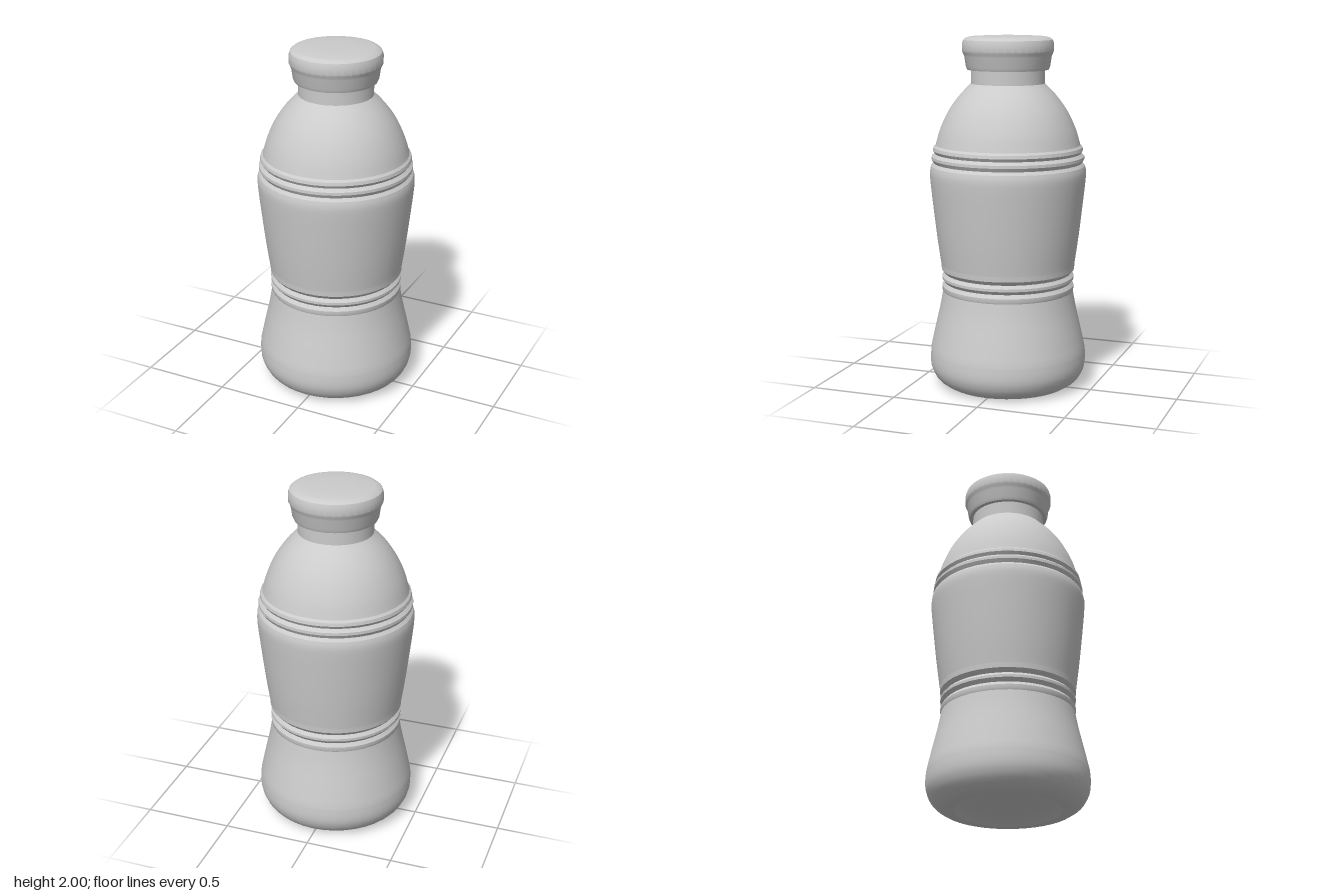
import * as THREE from 'three';
import { toCreasedNormals } from 'three/addons/utils/BufferGeometryUtils.js';

const SIDES = 40;
const material = new THREE.MeshStandardMaterial({ color: 0xcccccc });

// Turn a [radius, height] profile, listed from bottom to top, around the y axis
function turned(name, profile) {
  const points = profile.map(([r, y]) => new THREE.Vector2(r, y));
  const geometry = toCreasedNormals(new THREE.LatheGeometry(points, SIDES), 0.45);
  const mesh = new THREE.Mesh(geometry, material);
  mesh.name = name;
  return mesh;
}

// Sample a smooth curve through a few profile points
function smooth(profile, steps) {
  const curve = new THREE.SplineCurve(profile.map(([r, y]) => new THREE.Vector2(r, y)));
  return curve.getPoints(steps).map((p) => [p.x, p.y]);
}

export function createModel() {
  const bottle = new THREE.Group();
  bottle.name = 'bottle';

  // Recessed underside and rounded, flared foot
  bottle.add(turned('base', [
    [0, 0.045], [0.2, 0.04], [0.26, 0.025], [0.29, 0.004], [0.33, 0.002],
    ...smooth([[0.36, 0.01], [0.41, 0.045], [0.44, 0.1], [0.448, 0.15], [0.446, 0.2]], 10),
    ...smooth([[0.445, 0.215], [0.42, 0.33], [0.39, 0.46], [0.373, 0.555]], 8),
  ]));

  // Ribs around the waist
  bottle.add(turned('waistRibs', [
    [0.373, 0.555], [0.377, 0.565], [0.377, 0.585], [0.362, 0.605],
    [0.378, 0.625], [0.378, 0.64], [0.362, 0.658], [0.38, 0.68], [0.382, 0.71],
  ]));

  // Tapered label panel
  bottle.add(turned('labelPanel', smooth(
    [[0.382, 0.71], [0.403, 0.86], [0.424, 1.04], [0.439, 1.18], [0.442, 1.24], [0.435, 1.275]], 14)));

  // Ribs at the foot of the shoulder
  bottle.add(turned('shoulderRibs', [
    [0.435, 1.275], [0.42, 1.292], [0.432, 1.312], [0.431, 1.328],
    [0.413, 1.345], [0.424, 1.362], [0.42, 1.38], [0.408, 1.392],
  ]));

  // Domed shoulder
  bottle.add(turned('shoulder', smooth(
    [[0.408, 1.392], [0.382, 1.48], [0.335, 1.58], [0.275, 1.665], [0.208, 1.735]], 14)));

  // Straight neck
  bottle.add(turned('neck', [[0.208, 1.73], [0.208, 1.825]]));

  // Cap with its lower security band and slightly domed top
  bottle.add(turned('cap', [
    [0.2, 1.81], [0.228, 1.812], [0.236, 1.83], [0.244, 1.885], [0.25, 1.9],
    [0.257, 1.915], [0.257, 1.955], [0.25, 1.977], [0.235, 1.989], [0.21, 1.995], [0.1, 2], [0, 2],
  ]));

  return bottle;
}
